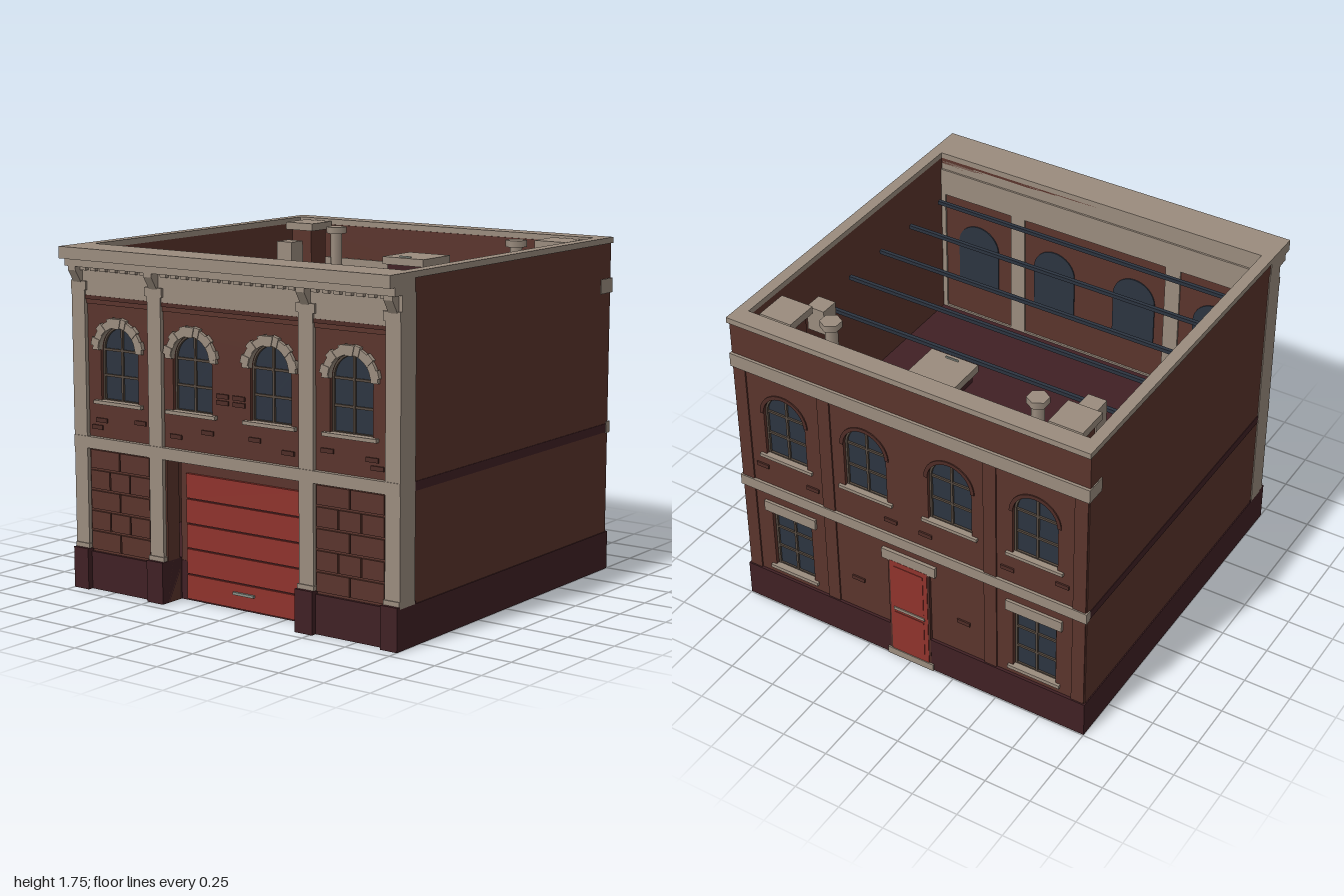
import * as THREE from 'three';

const mat = (name, color) => {
  const m = new THREE.MeshStandardMaterial({ color });
  m.name = name;
  return m;
};

export function createModel() {
  const stone = mat('stone', 0x9a8c7e), brick = mat('brick', 0x5a342c), darkBrick = mat('dark brick', 0x4e2c26);
  const maroon = mat('maroon', 0x402024), red = mat('door red', 0x8f332c), glass = mat('glass and slate', 0x2c3440);
  const frameMat = mat('window frame', 0x55493f), metal = mat('metal', 0x8a9088);

  const root = new THREE.Group();
  root.name = 'building';

  const add = (parent, name, geo, material) => {
    const m = new THREE.Mesh(geo, material);
    m.name = name;
    parent.add(m);
    return m;
  };
  // Box given by its limits on each axis
  const box = (parent, name, material, x0, x1, y0, y1, z0, z1) => {
    const m = add(parent, name, new THREE.BoxGeometry(x1 - x0, y1 - y0, z1 - z0), material);
    m.position.set((x0 + x1) / 2, (y0 + y1) / 2, (z0 + z1) / 2);
    return m;
  };
  const extrude = (shape, z0, z1) =>
    new THREE.ExtrudeGeometry(shape, { depth: z1 - z0, bevelEnabled: false, curveSegments: 16 }).translate(0, 0, z0);
  const poly = (pts, Kind = THREE.Shape) => new Kind(pts.map(p => new THREE.Vector2(...p)));
  const rect = (x0, x1, y0, y1, Kind) => poly([[x0, y0], [x1, y0], [x1, y1], [x0, y1], [x0, y0]], Kind);
  const SPRING = 1.235;
  const arch = (x, w, y0, Kind = THREE.Shape) => {
    const s = new Kind();
    s.moveTo(x - w, y0);
    s.lineTo(x + w, y0);
    s.lineTo(x + w, SPRING);
    s.absarc(x, SPRING, w, 0, Math.PI, false);
    s.lineTo(x - w, y0);
    return s;
  };

  // Each facade is built facing +z with its outer brick face at local z = 0
  const T = 0.09;
  const facade = (name, z, turn) => {
    const g = new THREE.Group();
    g.name = name;
    g.position.z = z;
    g.rotation.y = turn;
    root.add(g);
    return g;
  };
  const front = facade('frontFacade', 0.89, 0), back = facade('backFacade', -0.985, Math.PI);
  const windowXs = [-0.71, -0.24, 0.24, 0.71];

  const wall = (parent, outline, holes) => {
    outline.holes = holes;
    add(parent, 'brickWall', extrude(outline, -T, 0), brick);
  };
  const arches = () => windowXs.map(x => arch(x, 0.122, 0.975, THREE.Path));
  wall(front, poly([[-0.99, 0], [-0.41, 0], [-0.41, 0.73], [0.41, 0.73], [0.41, 0], [0.99, 0], [0.99, 1.72], [-0.99, 1.72]]), arches());
  wall(back, rect(-0.99, 0.99, 0.1, 1.72), [...arches(),
    ...[-0.71, 0.71].map(x => rect(x - 0.12, x + 0.12, 0.25, 0.63, THREE.Path)),
    rect(-0.12, 0.12, 0.15, 0.64, THREE.Path)]);

  // Arched window: pane, rim, glazing bars, sill and arch surround
  const archedWindow = (parent, x, hooded) => {
    const g = new THREE.Group();
    g.name = 'archedWindow';
    g.position.x = x;
    parent.add(g);
    add(g, 'pane', extrude(arch(0, 0.123, 0.974), -T - 0.006, -0.03), glass);
    const rim = arch(0, 0.122, 0.975);
    rim.holes = [arch(0, 0.112, 0.985, THREE.Path)];
    add(g, 'windowRim', extrude(rim, -0.03, -0.018), frameMat);
    box(g, 'mullion', frameMat, -0.006, 0.006, 0.98, 1.35, -0.03, -0.02);
    for (const y of [1.105, 1.235]) box(g, 'glazingBar', frameMat, -0.113, 0.113, y - 0.006, y + 0.006, -0.03, -0.021);
    box(g, 'sill', stone, -0.155, 0.155, 0.962, 0.98, -0.02, hooded ? 0.025 : 0.015);
    const outer = hooded ? 0.16 : 0.14, proud = hooded ? 0.018 : 0.006;
    const ring = new THREE.Shape();
    ring.absarc(0, SPRING, outer, 0, Math.PI, false);
    ring.absarc(0, SPRING, 0.12, Math.PI, 0, true);
    add(g, 'archSurround', extrude(ring, -0.01, proud), hooded ? stone : darkBrick);
    if (!hooded) return;
    // Alternating raised voussoirs and a keystone
    for (let i = 0; i < 6; i++) {
      const a = Math.PI * (i + 0.5) / 6, v = box(g, 'voussoir', stone, -0.024, 0.024, -0.02, 0.02, 0, 0.022);
      v.position.set(0.146 * Math.cos(a), SPRING + 0.146 * Math.sin(a), 0.011);
      v.rotation.z = a;
    }
    add(g, 'keystone', extrude(poly([[-0.02, 1.35], [0.02, 1.35], [0.032, 1.4], [-0.032, 1.4]]), 0, 0.026), stone);
  };
  windowXs.forEach(x => { archedWindow(front, x, true); archedWindow(back, x, false); });

  // Single proud bricks
  const strayBricks = (parent, list) => list.forEach(([x, y]) =>
    box(parent, 'proudBrick', darkBrick, x - 0.036, x + 0.036, y - 0.011, y + 0.011, -0.01, 0.008));
  for (const s of [-1, 1]) {
    strayBricks(front, [[0.83, 0.877], [0.86, 0.84], [0.575, 0.89], [0.345, 0.85], [0.145, 0.89], [0.05, 1.08], [0.05, 1.048]].map(([x, y]) => [s * x, y]));
    strayBricks(back, [[0.31, 0.4], [0.86, 0.9], [0.56, 0.87], [0.1, 0.87]].map(([x, y]) => [s * x, y]));
  }

  // Plinth and floor slab
  box(root, 'plinth', maroon, -1, 1, 0, 0.2, -1, 0.787);
  box(root, 'floorSlab', maroon, -0.998, 0.998, 0.735, 0.78, -0.98, 0.885);
  for (const s of [-1, 1]) {
    const mirror = (parent, name, m, a, b, ...r) => box(parent, name, m, Math.min(s * a, s * b), Math.max(s * a, s * b), ...r);
    mirror(root, 'frontPlinth', maroon, 0.41, 1, 0, 0.195, 0.78, 0.905);
    mirror(root, 'sideWall', brick, 0.94, 0.995, 0.2, 1.72, -0.985, 0.89);
    mirror(root, 'sideCoping', stone, 0.94, 1, 1.72, 1.75, -0.9, 0.8);

    // Front stone pilasters with plinths, capitals and cornice brackets
    for (const [a, b] of [[0.915, 1], [0.42, 0.505]]) {
      const mid = (a + b) / 2;
      mirror(root, 'pilasterPlinth', maroon, a - 0.01, Math.min(b + 0.008, 1), 0, 0.212, 0.78, 0.935);
      mirror(front, 'pilaster', stone, a, b, 0.2, 1.53, -0.1, 0.022);
      mirror(front, 'pilasterFoot', stone, a - 0.006, Math.min(b + 0.006, 1), 0.212, 0.235, 0, 0.028);
      mirror(front, 'capital', stone, a - 0.012, Math.min(b + 0.012, 1), 1.53, 1.575, 0, 0.026);
      const bracket = extrude(poly([[0, 1.545], [0.012, 1.545], [0.065, 1.63], [0.065, 1.655], [0, 1.655]]), -0.025, 0.025).rotateY(-Math.PI / 2);
      add(front, 'corniceBracket', bracket, stone).position.x = s * mid;
    }

    // Large block courses either side of the garage
    for (let row = 0; row < 5; row++) {
      const n = row % 2 ? 3 : 2, w = 0.395 / n, top = 0.722 - row * 0.105;
      for (let i = 0; i < n; i++) {
        const x = 0.512 + i * w;
        mirror(front, 'blockCourse', brick, x + 0.004, x + w - 0.004, top - 0.093, top, -0.01, 0.012);
      }
    }
    mirror(front, 'brickCorbel', darkBrick, 0.505, 0.915, 1.485, 1.505, -0.01, 0.016);
    mirror(front, 'brickCorbel', brick, 0.505, 0.915, 1.462, 1.485, -0.01, 0.009);

    // Back brick pilasters and ground floor windows
    for (const [a, b] of [[0.92, 0.99], [0.43, 0.5]]) mirror(back, 'brickPilaster', brick, a, b, 0.2, 1.48, -0.01, 0.008);
    const g = new THREE.Group();
    g.name = 'squareWindow';
    g.position.x = s * 0.71;
    back.add(g);
    box(g, 'pane', glass, -0.12, 0.12, 0.25, 0.63, -T - 0.006, -0.03);
    for (const x of [-0.113, 0, 0.113]) box(g, 'mullion', frameMat, x - 0.006, x + 0.006, 0.25, 0.63, -0.03, -0.02);
    for (const y of [0.256, 0.375, 0.5, 0.624]) box(g, 'glazingBar', frameMat, -0.12, 0.12, y - 0.006, y + 0.006, -0.03, -0.021);
    box(g, 'lintel', stone, -0.155, 0.155, 0.615, 0.675, -0.03, 0.015);
    box(g, 'sill', stone, -0.145, 0.145, 0.235, 0.255, -0.03, 0.015);

    // Rooftop chimneys, small vents and six-sided flues
    mirror(root, 'chimney', brick, 0.735, 0.865, 1.5, 1.7, -0.855, -0.725);
    mirror(root, 'chimneyCap', stone, 0.71, 0.89, 1.7, 1.74, -0.88, -0.7);
    mirror(root, 'ventBox', stone, 0.71, 0.81, 1.52, 1.655, -0.615, -0.515);
    for (const [r, y0, y1] of [[0.032, 1.5, 1.7], [0.055, 1.695, 1.73]])
      add(root, 'flue', new THREE.CylinderGeometry(r, r, y1 - y0, 6), stone).position.set(s * 0.575, (y0 + y1) / 2, -0.74);
  }
  box(front, 'brickCorbel', darkBrick, -0.42, 0.42, 1.485, 1.505, -0.01, 0.016);
  box(front, 'brickCorbel', brick, -0.42, 0.42, 1.462, 1.485, -0.01, 0.009);

  // Stone bands, frieze, dentils and cornice
  box(front, 'middleBand', stone, -1, 1, 0.73, 0.79, -0.1, 0.026);
  box(front, 'frieze', stone, -1, 1, 1.505, 1.655, -0.1, 0.014);
  box(front, 'corniceLower', stone, -1, 1, 1.65, 1.69, -0.09, 0.07);
  box(front, 'corniceUpper', stone, -1, 1, 1.69, 1.75, -0.09, 0.11);
  for (let i = 0; i < 29; i++) {
    const x = -0.91 + i * 0.065;
    if (Math.abs(Math.abs(x) - 0.463) > 0.045) box(front, 'dentil', stone, x - 0.018, x + 0.018, 1.63, 1.655, 0, 0.035);
  }
  box(back, 'middleBand', stone, -1, 1, 0.73, 0.79, -0.02, 0.015);
  box(back, 'upperBand', stone, -1, 1, 1.465, 1.54, -T - 0.008, 0.015);
  box(back, 'backCoping', stone, -1, 1, 1.72, 1.75, -0.085, 0.015);

  // Garage door in its recess
  box(root, 'garageRecess', brick, -0.41, 0.41, 0.19, 0.735, 0.77, 0.785);
  box(root, 'garageGrooves', maroon, -0.355, 0.355, 0.01, 0.645, 0.78, 0.793);
  const seams = [0.008, 0.138, 0.27, 0.396, 0.523, 0.653];
  for (let i = 0; i < 5; i++) box(root, 'garagePanel', red, -0.362, 0.362, seams[i] + 0.003, seams[i + 1] - 0.004, 0.78, 0.802);
  box(root, 'garageHandle', metal, -0.065, 0.065, 0.081, 0.094, 0.8, 0.815);

  // Back door
  box(back, 'doorSurround', darkBrick, -0.12, 0.12, 0.03, 0.64, -T, 0.016);
  box(back, 'backDoor', red, -0.108, 0.108, 0.04, 0.63, -0.02, 0.019);
  for (const [a, b] of [[0.07, 0.3], [0.35, 0.6]]) box(back, 'doorPanel', red, -0.085, 0.085, a, b, 0.015, 0.022);
  box(back, 'doorRail', stone, -0.09, 0.09, 0.315, 0.332, 0.01, 0.024);
  box(back, 'doorLintel', stone, -0.155, 0.155, 0.625, 0.685, -0.02, 0.018);
  box(back, 'doorStep', stone, -0.135, 0.135, 0, 0.04, -0.02, 0.024);

  // Roof bars and central hatch
  for (let i = 0; i < 6; i++) {
    const z = -0.69 + i * 0.276;
    box(root, 'roofBar', glass, -0.89, 0.89, 1.51, 1.53, z - 0.01, z + 0.01);
  }
  box(root, 'hatchBody', maroon, -0.11, 0.11, 1.52, 1.58, -0.78, -0.565);
  box(root, 'hatchLid', stone, -0.13, 0.13, 1.575, 1.615, -0.8, -0.545);
  box(root, 'hatchHandle', metal, -0.035, 0.035, 1.615, 1.623, -0.575, -0.568);

  // Centre the depth exactly
  const b = new THREE.Box3().setFromObject(root), c = b.getCenter(new THREE.Vector3());
  root.children.forEach(o => { o.position.z -= c.z; });
  return root;
}
